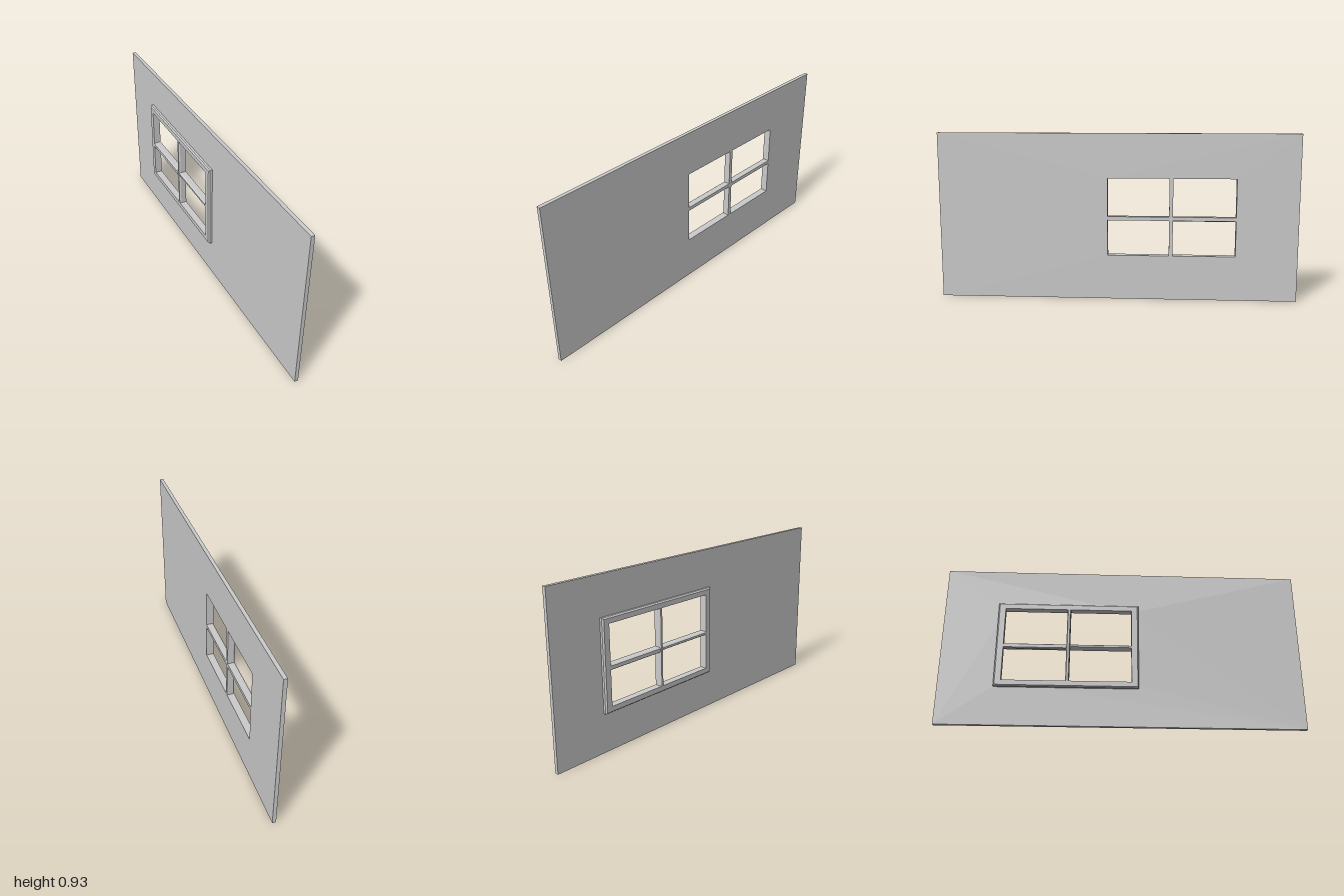
import * as THREE from 'three';

const material = new THREE.MeshStandardMaterial({ color: 0xcccccc, flatShading: true });

// Window opening: centre and half sizes along z and y
const CZ = -0.303, CY = 0.4675, HZ = 0.355, HY = 0.217;
const WALL = 0.02, FACE = -0.021, STEP = -0.013, BAR = 0.0105, BAR_Y = 0.46;

function add(group, name, geometry) {
  const mesh = new THREE.Mesh(geometry, material);
  mesh.name = name;
  group.add(mesh);
  return mesh;
}

function polygon(points) {
  return new THREE.Shape(points.map(([x, y]) => new THREE.Vector2(x, y)));
}

// Wall panel drawn in (z, y), pierced by the window opening
function wallGeometry() {
  const shape = polygon([[-1, 0], [1, 0], [1, 0.932], [-1, 0.932]]);
  shape.holes.push(polygon([
    [-CZ - HZ, CY - HY], [-CZ - HZ, CY + HY], [-CZ + HZ, CY + HY], [-CZ + HZ, CY - HY],
  ]));
  return new THREE.ExtrudeGeometry(shape, { depth: WALL, bevelEnabled: false }).rotateY(Math.PI / 2);
}

// Mitred trim: a chamfered profile carried round the four sides of the opening
function trimGeometry() {
  const profile = [[1, 0], [1, STEP], [0.82, FACE], [0, FACE], [0, 0]]; // [spread, x]
  const corners = [[-1, -1], [1, -1], [1, 1], [-1, 1]];
  const point = ([spread, x], [sz, sy]) =>
    [x, CY + sy * (HY + 0.034 * spread), CZ + sz * (HZ + 0.04 * spread)];
  const positions = [];
  for (let i = 0; i < profile.length - 1; i++) {
    for (let k = 0; k < 4; k++) {
      const a = corners[k], b = corners[(k + 1) % 4];
      const p = point(profile[i], a), q = point(profile[i], b);
      const r = point(profile[i + 1], b), s = point(profile[i + 1], a);
      positions.push(...p, ...q, ...r, ...p, ...r, ...s);
    }
  }
  const geometry = new THREE.BufferGeometry();
  geometry.setAttribute('position', new THREE.Float32BufferAttribute(positions, 3));
  geometry.computeVertexNormals();
  return geometry;
}

// Glazing bar along z with chamfered outer edges; drop slopes its underside
function barGeometry(length, drop = 0) {
  const shape = polygon([
    [WALL, -BAR], [WALL, BAR], [STEP, BAR], [FACE, BAR - 0.005],
    [FACE, -BAR + 0.005 - drop], [STEP, -BAR - drop],
  ]);
  return new THREE.ExtrudeGeometry(shape, { depth: length, bevelEnabled: false });
}

export function createModel() {
  const model = new THREE.Group();
  model.name = 'wallWithWindow';
  add(model, 'wall', wallGeometry());

  const windowGroup = new THREE.Group();
  windowGroup.name = 'window';
  model.add(windowGroup);
  add(windowGroup, 'windowTrim', trimGeometry());

  // Upright bar
  add(windowGroup, 'verticalBar', barGeometry(2 * HY).rotateX(-Math.PI / 2))
    .position.set(0, CY - HY, -0.3);

  // Cross bars on either side of the upright
  add(windowGroup, 'horizontalBarFront', barGeometry(CZ + HZ + 0.3 - BAR))
    .position.set(0, BAR_Y, -0.3 + BAR);
  add(windowGroup, 'horizontalBarRear', barGeometry(-0.3 - BAR - (CZ - HZ), 0.008))
    .position.set(0, BAR_Y, CZ - HZ);

  return model;
}
